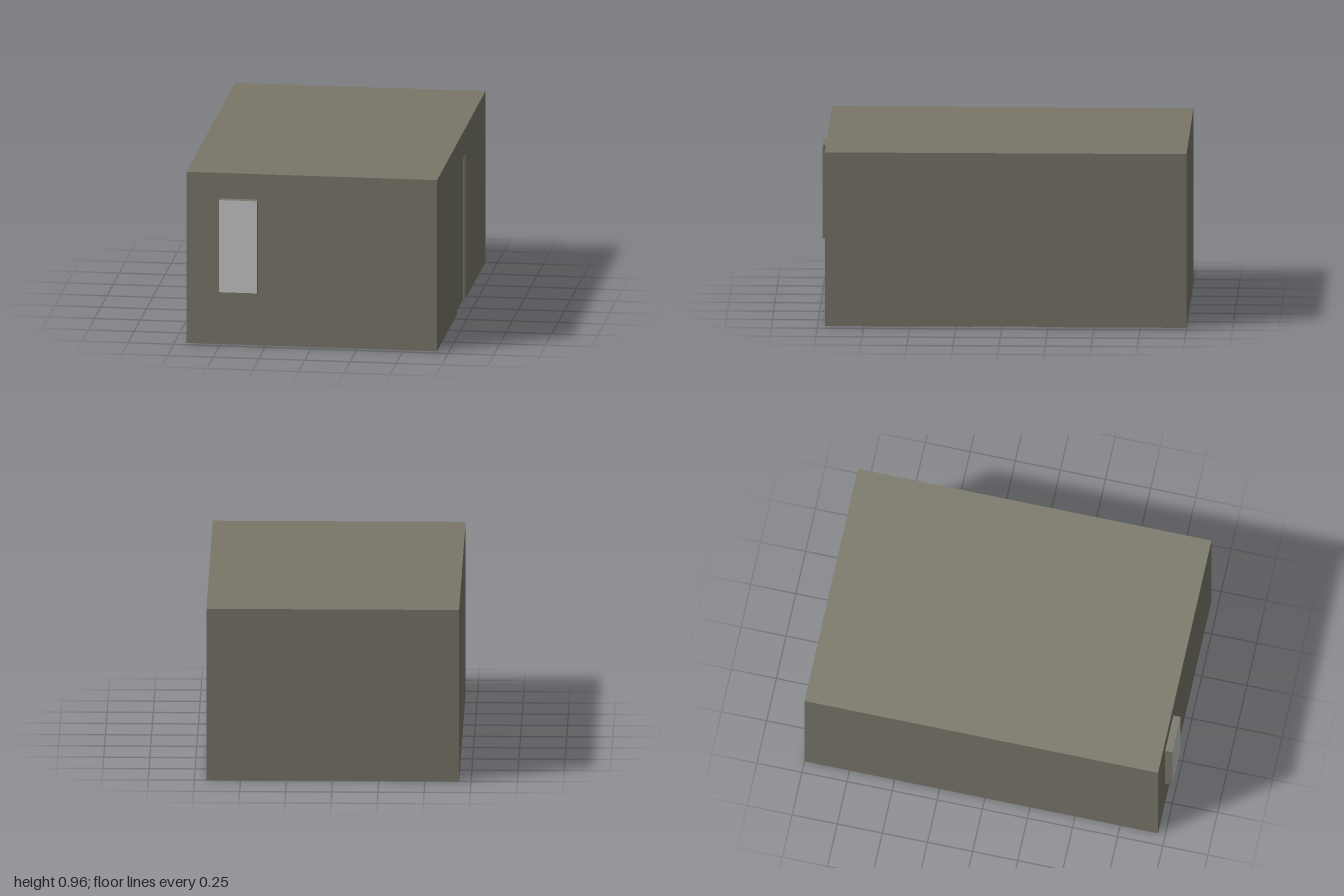
import * as THREE from 'three';

export function createModel() {
  const group = new THREE.Group();
  const wall = new THREE.MeshStandardMaterial({ color: 0x7a7769 });
  wall.name = 'olive grey wall';
  const glass = new THREE.MeshStandardMaterial({ color: 0xc8c8c8 });
  glass.name = 'pale grey pane';

  const W = 0.685, H = 0.957, BACK = -1, FRONT = 0.96;
  const SKIN = 0.012; // depth of the door recess

  const add = (name, geometry, material) => {
    const mesh = new THREE.Mesh(geometry, material);
    mesh.name = name;
    group.add(mesh);
  };

  // Box given by its lower and upper corners
  const box = (x0, x1, y0, y1, z0, z1) =>
    new THREE.BoxGeometry(x1 - x0, y1 - y0, z1 - z0)
      .translate((x0 + x1) / 2, (y0 + y1) / 2, (z0 + z1) / 2);

  // Upright slab on the left side, outlined in (z, y), with its inner face at x
  const sideSlab = (points, x, depth) => {
    const shape = new THREE.Shape(points.map(([z, y]) => new THREE.Vector2(-z, y)));
    return new THREE.ExtrudeGeometry(shape, { depth, bevelEnabled: false })
      .rotateY(Math.PI / 2).translate(x, 0, 0);
  };

  // Outline of an arch around a doorway that is open at the ground
  const arch = (z0, z1, top, d0, d1, doorTop) => [
    [z1, 0], [d1, 0], [d1, doorTop], [d0, doorTop], [d0, 0], [z0, 0], [z0, top], [z1, top],
  ];

  // Building block; its outer face on the left is the door
  add('building', box(-W, W - SKIN, 0, H, BACK, FRONT), wall);
  add('doorWall', sideSlab(arch(BACK, FRONT, H, -0.2, 0.16, 0.815), W - SKIN, SKIN), wall);
  add('doorFrame', sideSlab(arch(-0.2, 0.16, 0.815, -0.182, 0.142, 0.797), W - SKIN, SKIN / 2), wall);

  // Projecting window with a pale front face
  add('window', box(-0.503, -0.293, 0.3, 0.815, FRONT, 1), [wall, wall, wall, wall, glass, wall]);

  return group;
}
